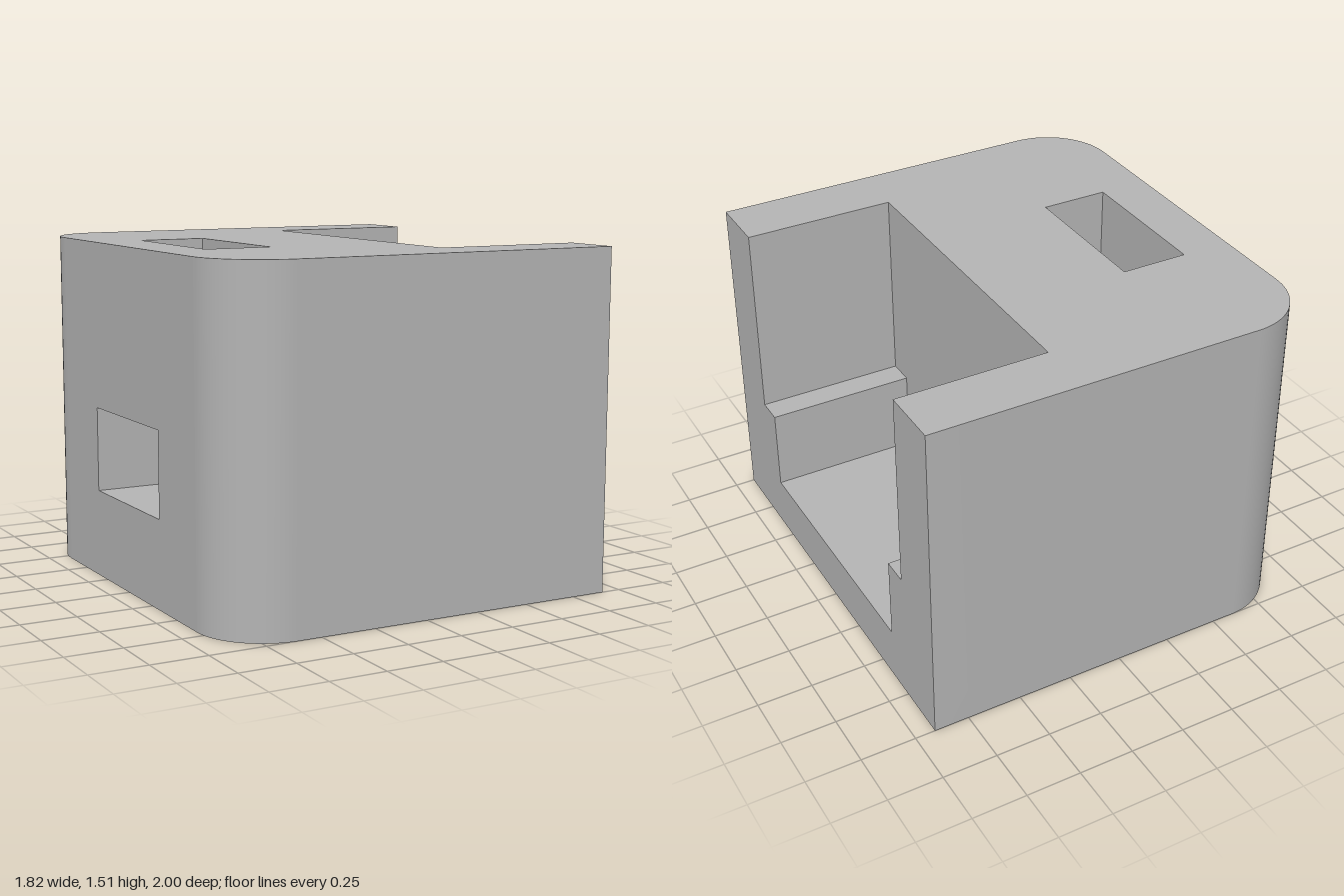
import * as THREE from 'three';
import { toCreasedNormals } from 'three/addons/utils/BufferGeometryUtils.js';

// Outer block
const X = 0.909, Z = 1, H = 1.515, R = 0.303;
// Stepped notch in the +x side
const NX = 0.225, WIDE = 0.727, NARROW = 0.606, STEP = 0.621, FLOOR = 0.242;
// L-shaped channel from the top down and out through the -x side
const CX1 = -0.685, CX2 = -0.379, CZ = 0.335, CY1 = 0.394, CY2 = 0.773;

const V = (x, y, z) => new THREE.Vector3(x, y, z);
const pts2 = (list) => list.map(([a, b]) => new THREE.Vector2(a, b));

// Flat panel: 2D outline laid along axes u and v, facing u x v
function panel(outline, hole, u, v, origin) {
  const shape = new THREE.Shape(pts2(outline));
  if (hole) shape.holes.push(new THREE.Path(pts2(hole)));
  const n = u.clone().cross(v);
  const m = new THREE.Matrix4().makeBasis(u, v, n).setPosition(origin);
  return new THREE.ShapeGeometry(shape).applyMatrix4(m);
}

// Wall strip: a path swept along s, facing (path direction) x s
function strip(path, s) {
  const pos = [];
  for (let i = 0; i < path.length - 1; i++) {
    const a = path[i], b = path[i + 1];
    const c = b.clone().add(s), d = a.clone().add(s);
    for (const p of [a, b, c, a, c, d]) pos.push(p.x, p.y, p.z);
  }
  const g = new THREE.BufferGeometry();
  g.setAttribute('position', new THREE.Float32BufferAttribute(pos, 3));
  g.computeVertexNormals();
  return toCreasedNormals(g, 0.4);
}

// Rounded corner points in plan, from angle a0 through a quarter turn
function corner(cz, a0) {
  const out = [], n = 20;
  for (let i = 0; i <= n; i++) {
    const a = a0 + (i / n) * Math.PI / 2;
    out.push([-X + R + R * Math.cos(a), cz + R * Math.sin(a)]);
  }
  return out;
}

export function createModel() {
  const group = new THREE.Group();
  group.name = 'slottedBlock';
  const grey = new THREE.MeshStandardMaterial({ color: 0xb4b4b4 });
  grey.name = 'grey';
  const add = (name, geometry) => {
    const mesh = new THREE.Mesh(geometry, grey);
    mesh.name = name;
    group.add(mesh);
  };
  const ax = V(1, 0, 0), ay = V(0, 1, 0), az = V(0, 0, 1);
  const nx = V(-1, 0, 0), nz = V(0, 0, -1);

  // Plan outline pieces: front corner runs +z to -x, back corner -x to -z
  const frontCorner = corner(Z - R, Math.PI / 2);
  const backCorner = corner(-Z + R, Math.PI);
  const rounded = [...frontCorner, ...backCorner];

  // Bottom and top
  add('bottom', panel([[X, Z], ...rounded, [X, -Z]], null, ax, az, V(0, 0, 0)));
  add('top', panel(
    [[X, Z], ...rounded, [X, -Z], [X, -WIDE], [NX, -WIDE], [NX, WIDE], [X, WIDE]],
    [[CX1, -CZ], [CX2, -CZ], [CX2, CZ], [CX1, CZ]], ax, nz, V(0, H, 0)));

  // Long side walls with their rounded corners
  const toPlan = ([x, z]) => V(x, 0, z);
  const up = V(0, H, 0);
  add('backWall', strip([[X, -Z], ...backCorner.slice().reverse()].map(toPlan), up));
  add('frontWall', strip([...frontCorner.slice().reverse(), [X, Z]].map(toPlan), up));

  // Closed end with the channel window
  const e = Z - R;
  add('windowWall', panel([[-e, 0], [e, 0], [e, H], [-e, H]],
    [[-CZ, CY1], [CZ, CY1], [CZ, CY2], [-CZ, CY2]], az, ay, V(-X, 0, 0)));

  // Stepped notch: section in z and y
  const notch = [[-WIDE, H], [-WIDE, STEP], [-NARROW, STEP], [-NARROW, FLOOR],
    [NARROW, FLOOR], [NARROW, STEP], [WIDE, STEP], [WIDE, H]];
  add('notchEndWall', panel([[-Z, H], [-Z, 0], [Z, 0], [Z, H], ...notch.slice().reverse()],
    null, nz, ay, V(X, 0, 0)));
  add('notchBack', panel(notch, null, nz, ay, V(NX, 0, 0)));
  for (let i = 0; i < notch.length - 1; i++) {
    const run = [notch[i], notch[i + 1]].map(([z, y]) => V(NX, y, z));
    add('notchSide' + (i + 1), strip(run, V(X - NX, 0, 0)));
  }

  // Channel: inner and outer bends, then the two flat sides
  const across = V(0, 0, 2 * CZ);
  const inner = [[CX2, H], [CX2, CY1], [-X, CY1]];
  const outer = [[-X, CY2], [CX1, CY2], [CX1, H]];
  const toSide = ([x, y]) => V(x, y, -CZ);
  add('channelFloor', strip(inner.map(toSide), across));
  add('channelRoof', strip(outer.map(toSide), across));
  const section = [...inner, ...outer];
  add('channelBackSide', panel(section, null, ax, ay, V(0, 0, -CZ)));
  add('channelFrontSide', panel(section.map(([x, y]) => [-x, y]), null, nx, ay, V(0, 0, CZ)));

  return group;
}
